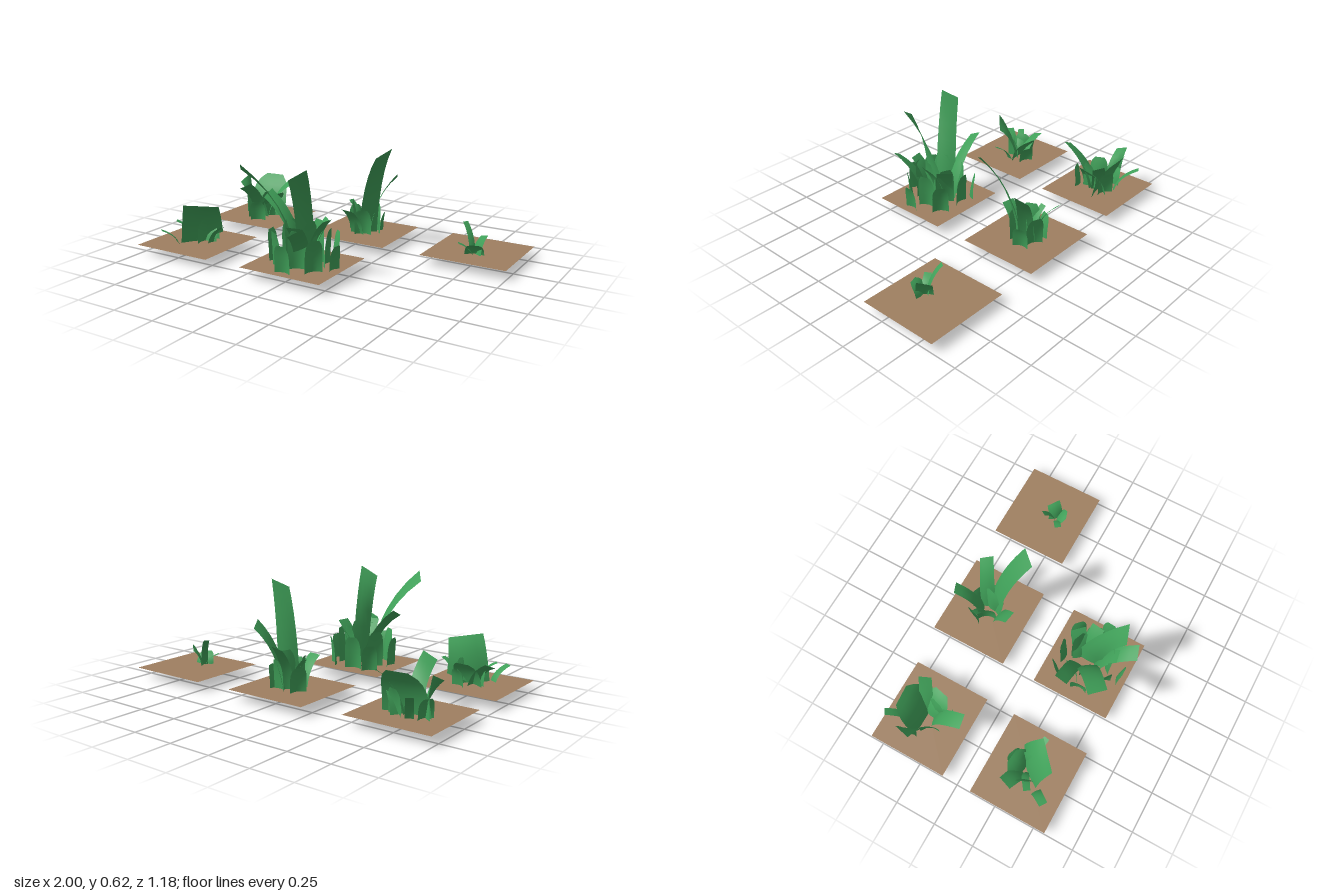
import * as THREE from 'three';

const GROUND = 0.056;
const UP = new THREE.Vector3(0, 1, 0);
const green = new THREE.MeshStandardMaterial({ color: 0x3f9f58, side: THREE.DoubleSide });
const brown = new THREE.MeshStandardMaterial({ color: 0x9f7f60, side: THREE.DoubleSide });

// Curved ribbon rising from the base and leaning over to the tip.
// roll and baseRoll tilt the end edges, turn twists the foot, blunt rounds off the top.
function leaf(name, base, tip, width, options = {}) {
  const { roll = 0, baseRoll = 0, turn = 0, foot = 1.2, bow = 0.1, blunt = false } = options;
  const lean = tip.clone().sub(base);
  const side = new THREE.Vector3(-lean.z, 0, lean.x).normalize();
  const edge = (r, w) => side.clone().setY(r).multiplyScalar(w);
  const baseEdge = edge(baseRoll, width * foot).applyAxisAngle(UP, turn);
  const tipEdge = edge(roll, width);
  const mid = base.clone().lerp(tip, 0.2);
  mid.y = base.y + lean.y * 0.66;
  const curve = new THREE.QuadraticBezierCurve3(base, mid, tip);
  const rows = 6, cols = 4;
  const g = new THREE.PlaneGeometry(1, 1, cols, rows);
  for (let i = 0; i <= rows; i++) {
    const t = i / rows;
    const across = baseEdge.clone().lerp(tipEdge, t);
    const out = across.clone().cross(curve.getTangent(t)).normalize();
    const taper = blunt ? 1.05 - 0.5 * t ** 5 : 1;
    for (let j = 0; j <= cols; j++) {
      const u = j / cols - 0.5;
      const p = curve.getPoint(t).addScaledVector(across, u * taper)
        .addScaledVector(out, bow * width * (0.5 - 4 * u * u) * (1 - t));
      g.attributes.position.setXYZ(i * (cols + 1) + j, p.x, p.y, p.z);
    }
  }
  g.computeVertexNormals();
  const mesh = new THREE.Mesh(g, green);
  mesh.name = name;
  return mesh;
}

// Flat soil plate with a plant whose leaves spread from (cx, cz)
function plot(name, plateX, plateZ, cx, cz) {
  const group = new THREE.Group();
  group.name = name;
  const soil = new THREE.Mesh(new THREE.PlaneGeometry(0.51, 0.48).rotateX(-Math.PI / 2), brown);
  soil.name = 'soil';
  soil.position.set(plateX, GROUND, plateZ);
  group.add(soil);

  // Long leaf: tip position and width; root is how far out from the centre it grows
  const long = (x, y, z, width, { root = 0.15, ...options } = {}) => {
    const base = new THREE.Vector3(cx + (x - cx) * root, GROUND, cz + (z - cz) * root);
    group.add(leaf('longLeaf', base, new THREE.Vector3(x, y, z), width, options));
  };

  // Short blunt leaves in a sunflower spiral, lower towards the outside
  const short = (count, radius, height, dz = 0) => {
    for (let i = 0; i < count; i++) {
      const a = i * 2.4 + 0.3, f = (i + 0.5) / count;
      const r = radius * Math.sqrt(f), c = Math.cos(a), s = Math.sin(a);
      const base = new THREE.Vector3(cx + c * r, GROUND, cz + dz + s * r);
      const tip = new THREE.Vector3(c * 0.025, height * (1 - 0.45 * f), s * 0.025).add(base);
      group.add(leaf('shortLeaf', base, tip, 0.115 - 0.03 * f, { foot: 1, bow: 0.22, blunt: true }));
    }
  };
  return { group, long, short };
}

function broadLeafBush() {
  const { group, long, short } = plot('broadLeafBush', -0.745, -0.33, -0.74, -0.34);
  long(-0.75, 0.3, -0.48, 0.22, { blunt: true });
  long(-0.92, 0.275, -0.375, 0.085, { roll: 0.5, root: 0.6, turn: 1 });
  long(-0.715, 0.3, -0.105, 0.08, { roll: -0.5 });
  long(-0.61, 0.22, -0.31, 0.16, { bow: 0.18, blunt: true });
  long(-0.59, 0.275, -0.425, 0.07, { roll: -0.4 });
  long(-0.86, 0.205, -0.54, 0.04, { root: 0.4 });
  short(5, 0.13, 0.18, 0.02);
  return group;
}

function tallGrass() {
  const { group, long, short } = plot('tallGrass', 0, -0.36, 0, -0.37);
  long(0.215, 0.595, -0.198, 0.1, { roll: -0.5 });
  long(0.174, 0.408, -0.455, 0.08, { roll: 0.45 });
  long(-0.052, 0.32, -0.545, 0.06, { roll: 0.3 });
  long(-0.03, 0.22, -0.195, 0.08, { root: 0.4 });
  long(-0.11, 0.235, -0.39, 0.04);
  short(6, 0.1, 0.21);
  return group;
}

function sprout() {
  const { group, long } = plot('sprout', 0.745, -0.36, 0.75, -0.3);
  long(0.667, 0.223, -0.352, 0.035);
  long(0.79, 0.16, -0.345, 0.08, { roll: 0.3, bow: 0.15 });
  long(0.77, 0.125, -0.24, 0.09, { bow: 0.2, blunt: true });
  long(0.67, 0.122, -0.25, 0.04);
  return group;
}

function tiltedLeafBush() {
  const { group, long, short } = plot('tiltedLeafBush', -0.745, 0.33, -0.74, 0.3);
  // Broad leaf whose tilted foot cuts through the soil
  long(-0.65, 0.3, 0.4, 0.2, { foot: 1.25, baseRoll: -0.44, roll: 0.1 });
  long(-0.88, 0.185, 0.255, 0.08, { roll: 0.4 });
  long(-0.73, 0.185, 0.215, 0.15, { bow: 0.2, blunt: true });
  long(-0.545, 0.175, 0.337, 0.035, { root: 0.4 });
  long(-0.857, 0.18, 0.382, 0.04);
  long(-0.875, 0.145, 0.495, 0.05, { root: 0.6 });
  short(3, 0.09, 0.15);
  return group;
}

function denseGrass() {
  const { group, long, short } = plot('denseGrass', 0, 0.33, 0, 0.28);
  long(-0.285, 0.595, 0.493, 0.1, { roll: -0.5 });
  long(0.078, 0.593, 0.49, 0.1, { roll: -0.6, turn: 1.2, foot: 1.6 });
  long(-0.268, 0.405, 0.27, 0.075, { roll: 0.5 });
  long(0.11, 0.308, 0.57, 0.08, { roll: -0.6, root: 0.35 });
  long(0.08, 0.29, 0.2, 0.09);
  long(0.14, 0.31, 0.3, 0.08);
  long(0.04, 0.3, 0.48, 0.08, { root: 0.4 });
  short(14, 0.21, 0.25, 0.05);
  return group;
}

export function createModel() {
  const model = new THREE.Group();
  model.name = 'grassClumps';
  model.add(broadLeafBush(), tallGrass(), sprout(), tiltedLeafBush(), denseGrass());
  return model;
}
